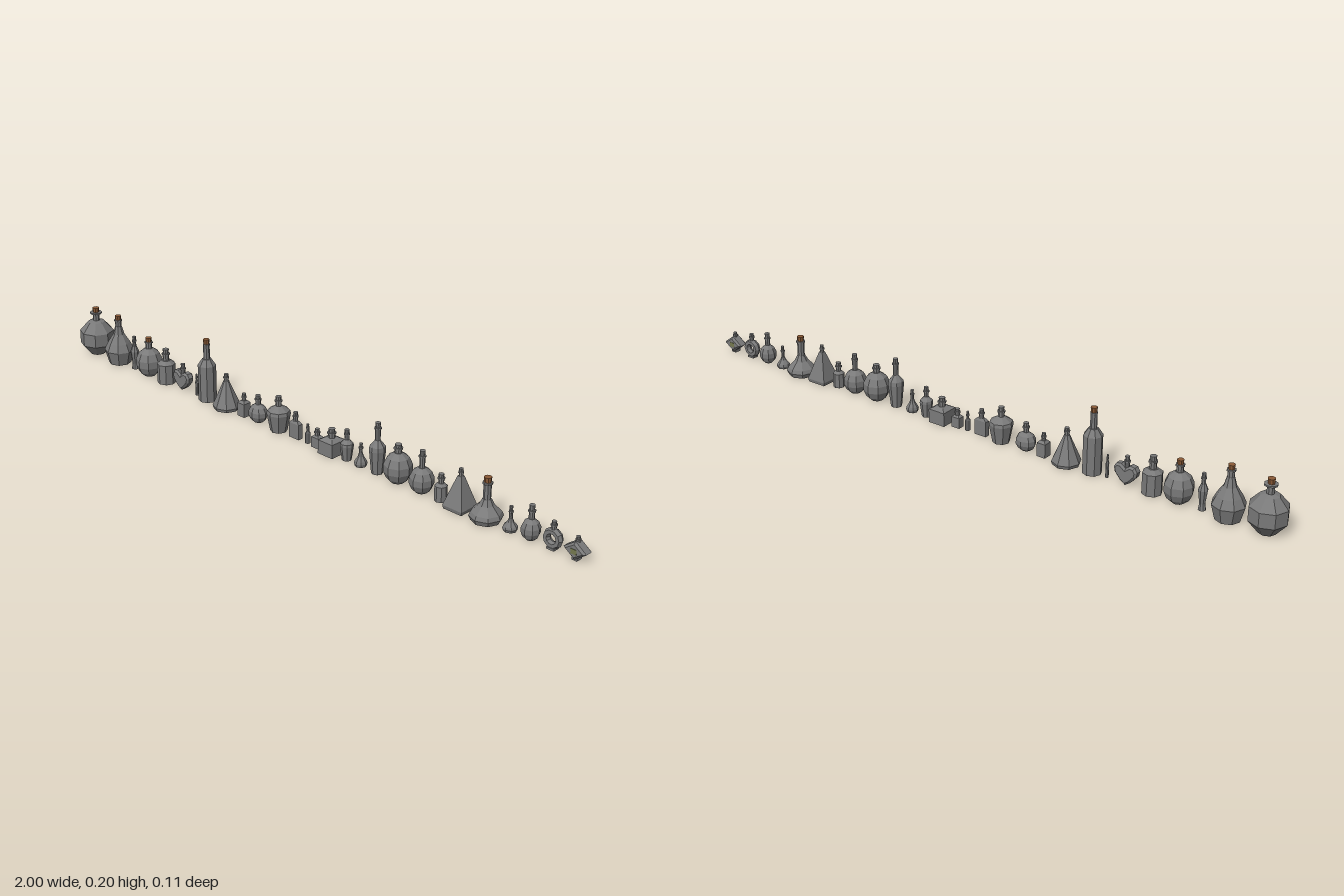
import * as THREE from 'three';

const glass = new THREE.MeshStandardMaterial({ color: 0x7a7a7a, flatShading: true });
const corkMat = new THREE.MeshStandardMaterial({ color: 0x8a5a36, flatShading: true });
const trimMat = new THREE.MeshStandardMaterial({ color: 0x74784e, flatShading: true });

// Body families as [radius, height] fractions
const straight = [[1, 0], [1, 0.85], [0.5, 1]];
const cone = [[0.93, 0], [1, 0.11], [0.2, 1]];
const bell = [[0.75, 0], [1, 0.36], [0.75, 0.56], [0.38, 0.78], [0.22, 1]];
const shouldered = [[0.7, 0], [1, 0.7], [0.94, 0.82], [0.3, 1]];
const squat = [[0.87, 0], [1, 0.22], [0.9, 0.4], [0.45, 0.73], [0.26, 1]];
const slim = [[0.8, 0], [0.6, 0.25], [1, 0.77], [0.5, 1]];
const facetedBall = [[0.45, 0], [1, 0.32], [1, 0.69], [0.5, 0.96], [0.2, 1]];
const globe = [0.45, 0.9, 1.35, 1.8, 2.3, 2.85].map((a) => [Math.sin(a), (Math.cos(0.45) - Math.cos(a)) / (Math.cos(0.45) - Math.cos(2.85))]);

function add(parent, name, geometry, material = glass) {
  const mesh = new THREE.Mesh(geometry, material);
  mesh.name = name;
  parent.add(mesh);
  return mesh;
}

function group(root, name, x) {
  const g = new THREE.Group();
  g.name = name;
  g.position.x = x;
  root.add(g);
  return g;
}

// Closed faceted solid of revolution; four sides give a square plan
function turned(profile, sides = 8) {
  const k = sides === 4 ? Math.SQRT2 : 1;
  const pts = [[0, profile[0][1]], ...profile, [0, profile[profile.length - 1][1]]]
    .map(([r, y]) => new THREE.Vector2(r * k, y));
  return new THREE.LatheGeometry(pts, sides, sides === 4 ? Math.PI / 4 : 0);
}

// Neck with a rolled lip of the given radius, closed by a stopper
function addNeck(parent, r, y0, top, stopper = glass, lipRadius = r * 1.3) {
  const lip = top - Math.min(0.015, (top - y0) * 0.35);
  add(parent, 'neck', turned([[r, y0], [r, lip - 0.006], [lipRadius, lip - 0.005], [lipRadius, lip]]));
  add(parent, 'stopper', turned([[r * 0.85, lip - 0.002], [r, top]]), stopper);
}

// Thin faceted slab centred on z
function slab(points, depth, bevel) {
  const shape = new THREE.Shape(points.map(([x, y]) => new THREE.Vector2(x, y)));
  return new THREE.ExtrudeGeometry(shape, {
    depth, bevelEnabled: true, bevelThickness: bevel, bevelSize: bevel, bevelOffset: -bevel, bevelSegments: 1,
  }).translate(0, 0, -depth / 2);
}

export function createModel() {
  const root = new THREE.Group();
  root.name = 'bottleRow';

  // Turned bottle: body radius and height, then neck radius and total height
  function bottle(name, x, family, radius, bodyHeight, neck, height, { sides = 8, depth = 1, stopper, lipRadius } = {}) {
    const g = group(root, name, x);
    const profile = family.map(([r, y]) => [Math.max(r * radius, neck), y * bodyHeight]);
    add(g, 'body', turned(profile, sides)).scale.z = depth;
    addNeck(g, neck, bodyHeight - 0.003, height, stopper, lipRadius);
  }
  const corked = { stopper: corkMat };
  const square = { sides: 4 };

  bottle('roundFlask', -0.948, facetedBall, 0.055, 0.114, 0.011, 0.157, { stopper: corkMat, lipRadius: 0.019 });
  bottle('bellFlask', -0.834, bell, 0.048, 0.125, 0.010, 0.16, corked);
  bottle('slimVial', -0.757, slim, 0.014, 0.078, 0.006, 0.11);
  bottle('globeBottle', -0.685, globe, 0.043, 0.092, 0.010, 0.127, corked);
  bottle('drumBottle', -0.603, straight, 0.029, 0.075, 0.010, 0.112);
  bottle('needleVial', -0.46, straight, 0.005, 0.052, 0.003, 0.07);
  bottle('tallBottle', -0.411, straight, 0.028, 0.137, 0.010, 0.2, { stopper: corkMat, lipRadius: 0.0105 });
  bottle('coneFlask', -0.325, cone, 0.043, 0.09, 0.007, 0.112);
  bottle('squareVial', -0.248, straight, 0.014, 0.05, 0.006, 0.072, square);
  bottle('smallGlobe', -0.187, globe, 0.032, 0.057, 0.008, 0.086, { depth: 0.85 });
  bottle('shoulderJar', -0.1, shouldered, 0.036, 0.08, 0.009, 0.11);
  bottle('flatBottle', -0.03, straight, 0.02, 0.055, 0.007, 0.082, { sides: 4, depth: 0.4 });
  bottle('tinyVial', 0.02, straight, 0.008, 0.038, 0.004, 0.06);
  bottle('smallSquareBottle', 0.058, straight, 0.014, 0.038, 0.007, 0.058, { sides: 4, depth: 0.8 });
  bottle('inkBottle', 0.115, straight, 0.028, 0.05, 0.010, 0.078, square);
  bottle('jugBottle', 0.174, shouldered, 0.02, 0.064, 0.007, 0.095);
  bottle('dropBottle', 0.228, squat, 0.019, 0.042, 0.005, 0.07);
  bottle('wineBottle', 0.29, shouldered, 0.024, 0.102, 0.008, 0.155);
  bottle('potBottle', 0.366, globe, 0.042, 0.09, 0.010, 0.115);
  bottle('urnBottle', 0.452, globe, 0.036, 0.075, 0.008, 0.126);
  bottle('shortBottle', 0.52, straight, 0.018, 0.053, 0.008, 0.08);
  bottle('pyramidBottle', 0.586, cone, 0.033, 0.098, 0.006, 0.12, square);
  bottle('wideFlask', 0.675, squat, 0.047, 0.064, 0.011, 0.127, corked);
  bottle('onionBottle', 0.755, squat, 0.021, 0.036, 0.005, 0.072);
  bottle('bulbBottle', 0.82, globe, 0.027, 0.06, 0.008, 0.1);

  // Heart-shaped bottle
  const heart = group(root, 'heartBottle', -0.523);
  const half = [[0.017, 0.012], [0.034, 0.032], [0.037, 0.047], [0.029, 0.06], [0.014, 0.062]];
  const mirrored = half.map(([x, y]) => [-x, y]).reverse();
  add(heart, 'body', slab([[0, 0], ...half, [0, 0.051], ...mirrored], 0.016, 0.006));
  addNeck(heart, 0.007, 0.048, 0.086);

  // Ring-shaped bottle on a small foot
  const ring = group(root, 'ringBottle', 0.89);
  add(ring, 'body', new THREE.TorusGeometry(0.02, 0.01, 6, 10).translate(0, 0.031, 0)).scale.z = 1.2;
  add(ring, 'foot', new THREE.BoxGeometry(0.024, 0.006, 0.022).translate(0, 0.003, 0));
  addNeck(ring, 0.007, 0.056, 0.08);

  // Diamond bottle with coloured inlays front and back
  const diamond = group(root, 'diamondBottle', 0.965);
  add(diamond, 'body', slab([[0, 0.003], [0.035, 0.029], [0, 0.055], [-0.035, 0.029]], 0.022, 0.006));
  add(diamond, 'inlay', new THREE.BoxGeometry(0.018, 0.014, 0.036).translate(0, 0.028, 0), trimMat);
  add(diamond, 'foot', new THREE.BoxGeometry(0.016, 0.01, 0.022).translate(0, 0.005, 0));
  addNeck(diamond, 0.006, 0.046, 0.066);

  return root;
}
